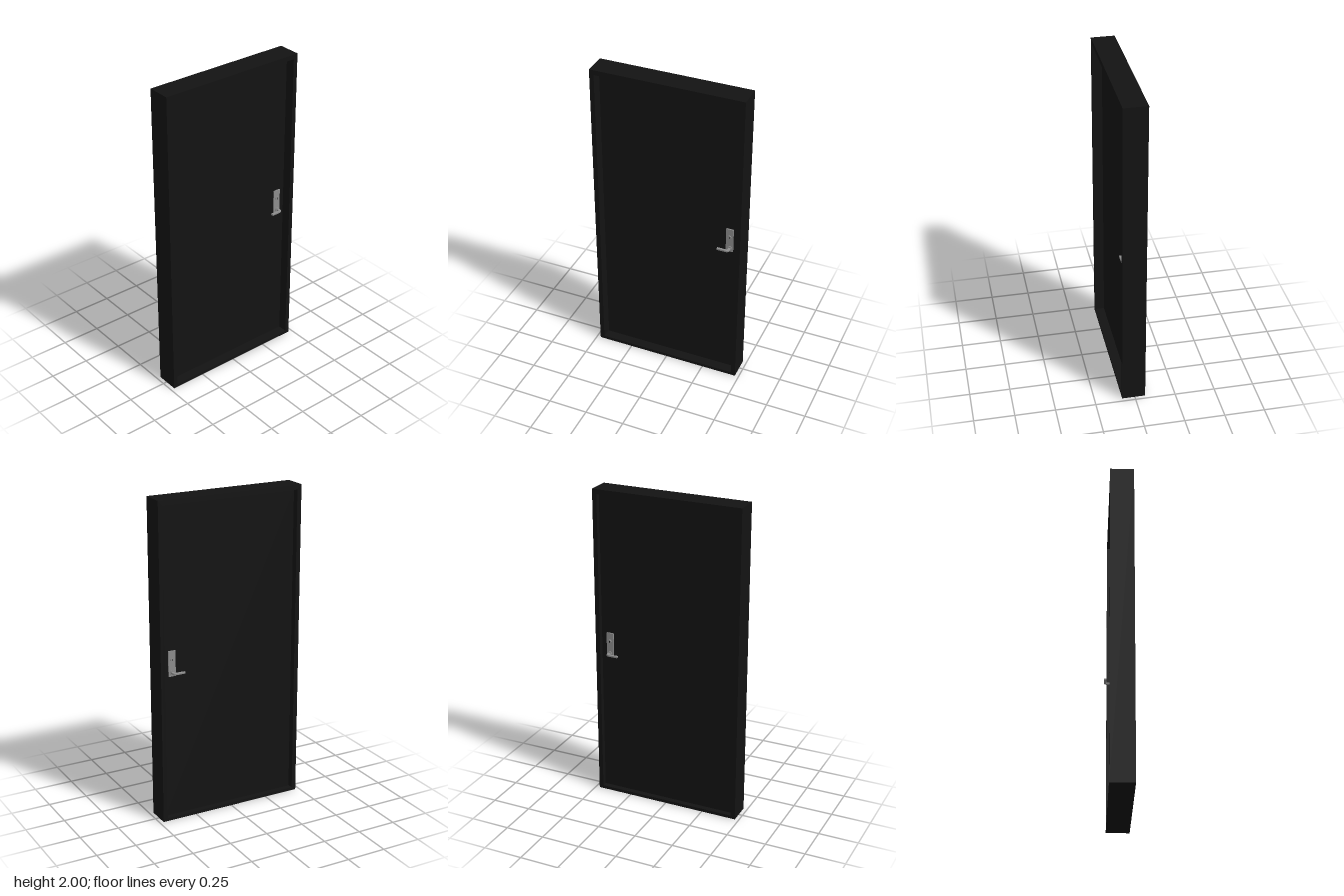
import * as THREE from 'three';

const black = new THREE.MeshStandardMaterial({ color: 0x131313 });
const steel = new THREE.MeshStandardMaterial({ color: 0x8c8c8c });

function add(parent, name, geometry, material, x = 0, y = 0, z = 0) {
  const mesh = new THREE.Mesh(geometry, material);
  mesh.name = name;
  mesh.position.set(x, y, z);
  parent.add(mesh);
  return mesh;
}

// Closed outline of a rectangle, for shapes and holes
function rect(target, x0, y0, x1, y1) {
  target.moveTo(x0, y0);
  target.lineTo(x1, y0);
  target.lineTo(x1, y1);
  target.lineTo(x0, y1);
  target.closePath();
  return target;
}

// Jambs, lintel and threshold as one surround, running from x0 to x1
function surround(x0, x1) {
  const shape = rect(new THREE.Shape(), -0.475, 0, 0.475, 2);
  shape.holes.push(rect(new THREE.Path(), -0.447, 0.02, 0.447, 1.97));
  const g = new THREE.ExtrudeGeometry(shape, { depth: x1 - x0, bevelEnabled: false });
  return g.rotateY(Math.PI / 2).translate(x0, 0, 0);
}

// Lever bending out of its rose and along the door; outline is in x (outward) and z
function leverGeometry() {
  const s = new THREE.Shape();
  s.moveTo(0, -0.008);
  s.lineTo(0.03, -0.008);
  s.quadraticCurveTo(0.046, -0.007, 0.049, 0.01);
  s.lineTo(0.049, 0.07);
  s.lineTo(0.034, 0.07);
  s.lineTo(0.034, 0.012);
  s.quadraticCurveTo(0.033, 0.007, 0.026, 0.007);
  s.lineTo(0, 0.007);
  s.closePath();
  const g = new THREE.ExtrudeGeometry(s, {
    depth: 0.008, bevelSize: 0.002, bevelThickness: 0.002, bevelOffset: -0.002,
    bevelSegments: 2, curveSegments: 8,
  });
  return g.translate(0, 0, -0.004).rotateX(Math.PI / 2);
}

// Handle set that faces +x, with its origin on the door face
function handleSet(name) {
  const set = new THREE.Group();
  set.name = name;
  add(set, 'backPlate', new THREE.BoxGeometry(0.008, 0.16, 0.046), steel, 0.004, 0.055, 0.003);
  const disc = (r, d) => new THREE.CylinderGeometry(r, r, d, 24).rotateZ(Math.PI / 2);
  add(set, 'rose', disc(0.014, 0.006), steel, 0.011, 0, 0);
  add(set, 'lever', leverGeometry(), steel);
  add(set, 'lockCylinder', disc(0.012, 0.006), steel, 0.011, 0.08, 0.003);
  add(set, 'keySlot', new THREE.BoxGeometry(0.002, 0.012, 0.003), black, 0.0145, 0.08, 0.003);
  return set;
}

export function createModel() {
  const door = new THREE.Group();
  door.name = 'door';

  add(door, 'frame', surround(-0.065, 0.08), black);

  // Leaf recessed in the frame, with a narrow gap along the hinge side
  const x0 = -0.034, x1 = 0.02;
  add(door, 'leaf', new THREE.BoxGeometry(x1 - x0, 1.948, 0.889), black,
    (x0 + x1) / 2, 0.995, -0.0025);

  // Matching handles on both faces; the second is mirrored in x
  const right = handleSet('leftHandle');
  right.position.set(x1, 0.955, -0.392);
  const left = handleSet('rightHandle');
  left.position.set(x0, 0.955, -0.392);
  left.scale.x = -1;
  door.add(right, left);
  return door;
}
